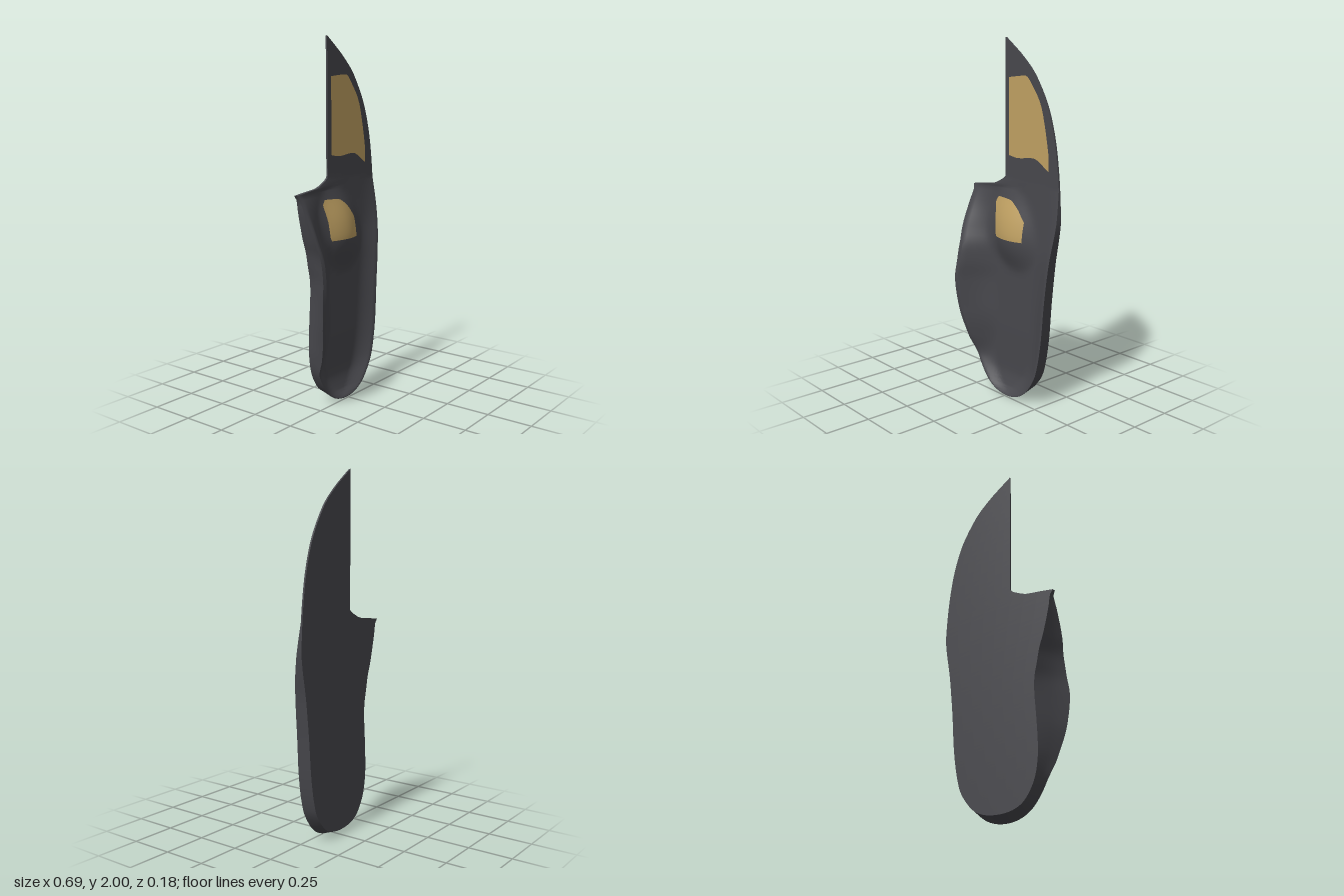
import * as THREE from 'three';
import { toCreasedNormals } from 'three/addons/utils/BufferGeometryUtils.js';

const BACK = -0.088;

// Smooth monotone curve through [key, value] pairs
function curve(pts) {
  const n = pts.length;
  const s = (i) => (pts[i + 1][1] - pts[i][1]) / (pts[i + 1][0] - pts[i][0]);
  const m = pts.map((_, i) => {
    if (i === 0) return s(0);
    if (i === n - 1) return s(n - 2);
    const a = s(i - 1), b = s(i);
    return a * b <= 0 ? 0 : (2 * a * b) / (a + b);
  });
  return (k) => {
    if (k <= pts[0][0]) return pts[0][1];
    if (k >= pts[n - 1][0]) return pts[n - 1][1];
    let i = 0;
    while (k > pts[i + 1][0]) i++;
    const h = pts[i + 1][0] - pts[i][0], t = (k - pts[i][0]) / h, t2 = t * t, t3 = t2 * t;
    return (2 * t3 - 3 * t2 + 1) * pts[i][1] + (t3 - 2 * t2 + t) * h * m[i]
      + (3 * t2 - 2 * t3) * pts[i + 1][1] + (t3 - t2) * h * m[i + 1];
  };
}

// Outline curves run over the square root of height, which rounds the heel
function outline(pts) {
  const c = curve(pts.map(([y, x]) => [Math.sqrt(y), x]));
  return (y) => c(Math.sqrt(y));
}

const rightEdge = outline([[0, 0], [0.01, 0.07], [0.05, 0.145], [0.1, 0.19], [0.2, 0.243], [0.4, 0.28],
  [0.6, 0.296], [0.8, 0.317], [1, 0.342], [1.05, 0.345], [1.2, 0.338], [1.4, 0.315], [1.6, 0.265],
  [1.8, 0.155], [1.9, 0.055], [2, -0.08]]);
const lowerLeft = outline([[0, 0], [0.01, -0.075], [0.05, -0.15], [0.1, -0.195], [0.2, -0.25], [0.35, -0.29],
  [0.5, -0.322], [0.65, -0.333], [0.75, -0.322], [0.85, -0.318], [0.95, -0.33], [1.1, -0.335],
  [1.15, -0.332], [1.18, -0.347]]);
const frontLeft = curve([[1.18, -0.347], [1.19, -0.27], [1.2, -0.18], [1.22, -0.13], [1.25, -0.082], [1.26, -0.08]]);
const leftEdge = (y) => (y <= 1.18 ? lowerLeft(y) : frontLeft(y));

// Heights of the arch rim, the outer rim and the foot bed
const archRim = curve([[0, -0.01], [0.17, -0.01], [0.3, 0.035], [0.45, 0.07], [0.65, 0.088], [0.8, 0.073],
  [0.95, 0.03], [1.1, -0.035], [1.18, -0.068], [1.25, -0.078]]);
const outerRim = curve([[0, -0.01], [0.3, -0.012], [0.7, -0.02], [0.85, -0.028], [1.05, -0.055], [1.22, -0.078]]);
const bed = curve([[0, -0.01], [0.05, -0.042], [0.14, -0.058], [0.4, -0.055], [0.8, -0.055], [1, -0.065],
  [1.15, -0.074], [1.25, -0.078]]);

// How far the flat base steps in from the rim on each side
const archInset = curve([[0, 0], [0.1, 0.015], [0.3, 0.04], [0.5, 0.09], [0.65, 0.11], [0.8, 0.075],
  [0.95, 0.045], [1.1, 0.015], [1.18, 0]]);
const outerInset = curve([[0, 0], [0.1, 0.012], [0.8, 0.01], [1.05, 0]]);

// Flat lip, then a curve down into the bed
function wall(d, lip, reach) {
  const s = THREE.MathUtils.clamp((d - lip) / reach, 0, 1);
  return (1 - s) ** 2 * (1 + 0.4 * s);
}

function surface(x, y) {
  const b = bed(y);
  const lift = THREE.MathUtils.smoothstep(y, 0.15, 0.5);
  let z = b + (archRim(y) - b) * wall(x - leftEdge(y), 0.012 + 0.018 * lift, 0.1 + 0.1 * lift)
    + (outerRim(y) - b) * wall(rightEdge(y) - x, 0.012, 0.12);
  // Teardrop forefoot pad
  const dx = x - (0.01 + (0.95 - y) * 0.15), dy = y - 0.94;
  const r = Math.hypot(dx / (dx < 0 ? 0.21 : 0.19), dy / (dy < 0 ? 0.22 : 0.27));
  if (r < 1) z += 0.052 * (1 - r * r) ** 1.6;
  return z;
}

// Indexed grid from rows of points
function gridGeometry(rows, closed) {
  const n = rows[0].length, index = [];
  for (let j = 0; j < rows.length - 1; j++) {
    for (let i = 0; i < (closed ? n : n - 1); i++) {
      const k = (i + 1) % n;
      const a = j * n + i, b = j * n + k, c = a + n, d = b + n;
      index.push(a, b, d, a, d, c);
    }
  }
  const g = new THREE.BufferGeometry();
  g.setAttribute('position', new THREE.Float32BufferAttribute(rows.flat(2), 3));
  g.setIndex(index);
  g.computeVertexNormals();
  return g;
}

// One closed cross-section: foot bed, outer wall, flat back, arch wall
function section(y) {
  const ring = [], L = leftEdge(y), R = rightEdge(y);
  const heel = Math.max(0, 1 - y / 0.2);
  const yb = y + 0.03 * heel * heel;
  const mid = (L + R) / 2;
  const bl = Math.min(L + archInset(y), mid), br = Math.max(R - outerInset(y), mid);
  const zl = surface(L, y), zr = surface(R, y);
  const N = 48, W = 4, B = 8;
  for (let i = 0; i <= N; i++) {
    const x = L + ((R - L) * i) / N;
    ring.push([x, y, surface(x, y)]);
  }
  for (let i = 1; i <= W; i++) {
    const t = i / W;
    ring.push([R + (br - R) * t, y + (yb - y) * t, zr + (BACK - zr) * t]);
  }
  for (let i = 1; i <= B; i++) ring.push([br + ((bl - br) * i) / B, yb, BACK]);
  for (let i = W - 1; i > 0; i--) {
    const t = i / W;
    ring.push([L + (bl - L) * t ** 0.8, y + (yb - y) * t, zl + (BACK - zl) * t]);
  }
  return ring;
}

// Coloured area lying on the surface, between a lower and an upper edge
function patch(name, x0, x1, low, high, material) {
  const rows = [], N = 28;
  for (let j = 0; j <= N; j++) {
    const row = [];
    for (let i = 0; i <= N; i++) {
      const x = x0 + ((x1 - x0) * i) / N;
      const y = low(x) + ((high(x) - low(x)) * j) / N;
      row.push([x, y, surface(x, y) + 0.002]);
    }
    rows.push(row);
  }
  const mesh = new THREE.Mesh(gridGeometry(rows, false), material);
  mesh.name = name;
  return mesh;
}

export function createModel() {
  const group = new THREE.Group();
  group.name = 'insole';
  const dark = new THREE.MeshStandardMaterial({ color: 0x47474c });
  const tan = new THREE.MeshStandardMaterial({ color: 0xbfa062 });

  // Shell with thin toe extension
  const heights = [1.18, 1.185, 1.19, 1.195, 1.2, 1.21, 1.22, 1.235, 1.25, 1.26];
  for (let i = 0; i <= 100; i++) {
    const y = 2 * (i / 100) ** 2;
    if (y < 1.175 || y > 1.27) heights.push(y);
  }
  heights.sort((a, b) => a - b);
  const shell = new THREE.Mesh(toCreasedNormals(gridGeometry(heights.map(section), true), 0.6), dark);
  shell.name = 'shell';
  group.add(shell);

  // Tan cover areas
  group.add(patch('toePatch', -0.05, 0.26,
    curve([[-0.05, 1.37], [0.02, 1.36], [0.14, 1.37], [0.26, 1.31]]),
    curve([[-0.05, 1.79], [0.08, 1.8], [0.15, 1.73], [0.2, 1.65], [0.24, 1.5], [0.26, 1.39]]), tan));
  group.add(patch('padPatch', -0.14, 0.11,
    curve([[-0.14, 1.1], [-0.12, 1], [-0.11, 0.91], [0.11, 0.91]]),
    curve([[-0.14, 1.11], [-0.12, 1.135], [-0.02, 1.13], [0.05, 1.09], [0.11, 1.02]]), tan));
  return group;
}
